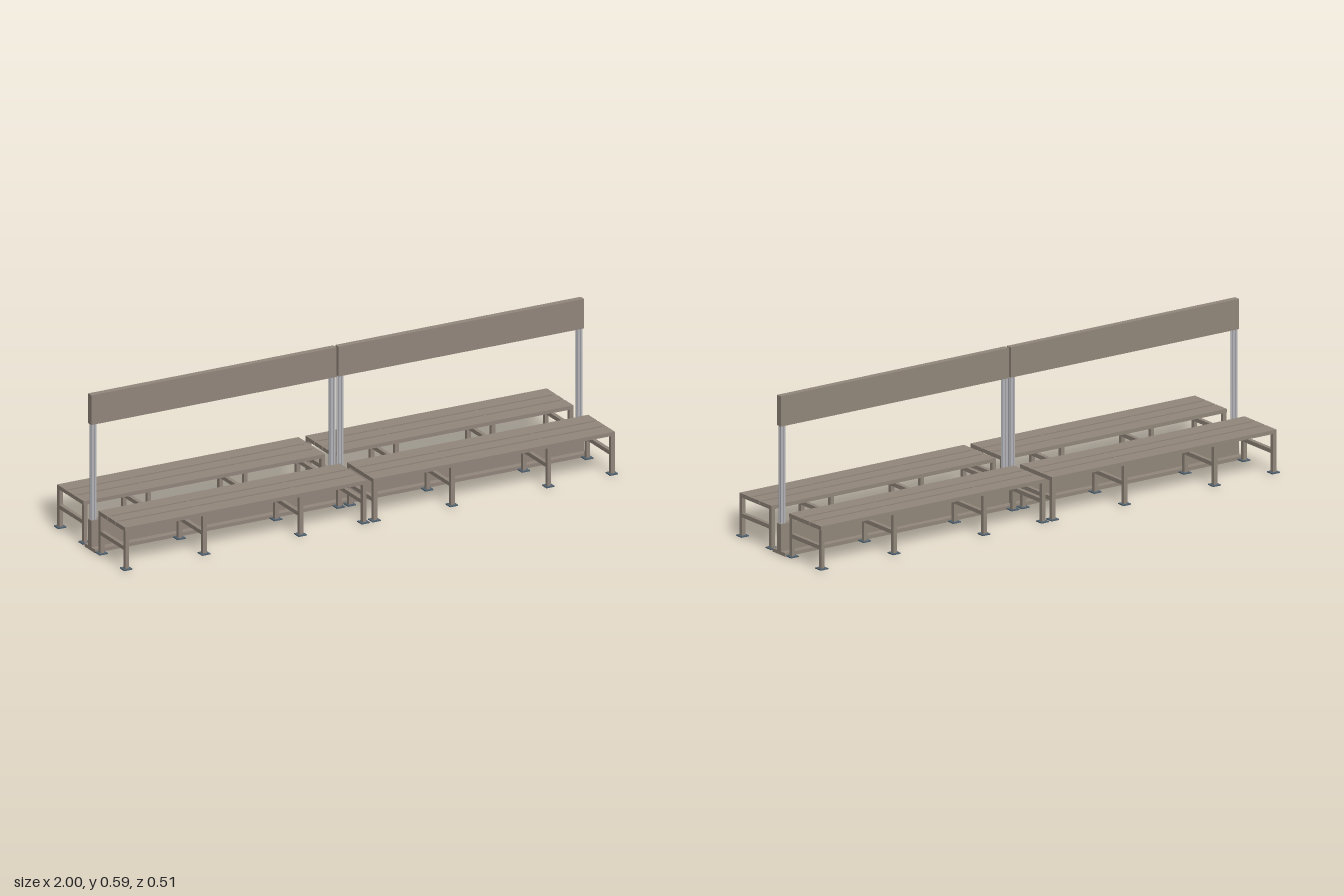
import * as THREE from 'three';

const mat = (name, color) => {
  const m = new THREE.MeshStandardMaterial({ color });
  m.name = name;
  return m;
};

export function createModel() {
  const timber = mat('taupe timber', 0x91867b);
  const steel = mat('pale steel', 0xb2b3b8);
  const plate = mat('slate foot', 0x50616f);
  const model = new THREE.Group();
  model.name = 'doubleBench';

  // Box given by its lower and upper limits on each axis
  const box = (parent, name, material, [x0, x1], [y0, y1], [z0, z1]) => {
    const mesh = new THREE.Mesh(new THREE.BoxGeometry(x1 - x0, y1 - y0, z1 - z0), material);
    mesh.position.set((x0 + x1) / 2, (y0 + y1) / 2, (z0 + z1) / 2);
    mesh.name = name;
    parent.add(mesh);
  };

  const zIn = 0.054, zOut = 0.248, w = 0.015, foot = 0.0165;

  // Two legs with feet, a stretcher and a bearer under the slats
  function legFrame(parent, x) {
    const frame = new THREE.Group();
    frame.name = 'legFrame';
    const xs = [x - w / 2, x + w / 2];
    for (const z of [zIn + w / 2, zOut - w / 2]) {
      box(frame, 'leg', timber, xs, [0.008, 0.152], [z - w / 2, z + w / 2]);
      box(frame, 'foot', plate, [x - foot, x + foot], [0.004, 0.008], [z - foot, z + foot]);
    }
    box(frame, 'stretcher', timber, xs, [0.076, 0.091], [zIn + w, zOut - w]);
    box(frame, 'bearer', timber, xs, [0.149, 0.1625], [zIn + 0.001, zOut - 0.001]);
    parent.add(frame);
  }

  function bench(x0, x1, legXs) {
    const group = new THREE.Group();
    group.name = 'bench';
    for (const zs of [[zIn, 0.1165], [0.1255, 0.1755], [0.1845, zOut]])
      box(group, 'seatSlat', timber, [x0, x1], [0.15, 0.164], zs);
    legXs.forEach((x) => legFrame(group, x));
    return group;
  }

  // Front pair of benches, and the same pair turned about for the back
  for (const turn of [0, Math.PI]) {
    const pair = new THREE.Group();
    pair.name = turn ? 'backBenches' : 'frontBenches';
    pair.add(bench(-0.99, -0.014, [-0.982, -0.667, -0.277, -0.022]));
    pair.add(bench(0.014, 0.99, [0.022, 0.335, 0.725, 0.982]));
    pair.rotation.y = turn;
    model.add(pair);
  }

  // Slotted post section, drawn in plan
  const a = 0.01, b = 0.007, s = 0.002, d = 0.003;
  const section = new THREE.Shape([
    [-a, -b], [-s, -b], [-s, -b + d], [s, -b + d], [s, -b], [a, -b],
    [a, -s], [a - d, -s], [a - d, s], [a, s], [a, b],
    [s, b], [s, b - d], [-s, b - d], [-s, b], [-a, b],
    [-a, s], [-a + d, s], [-a + d, -s], [-a, -s],
  ].map(([x, y]) => new THREE.Vector2(x, y)));
  const postGeo = new THREE.ExtrudeGeometry(section, { depth: 0.38, bevelEnabled: false });
  postGeo.rotateX(-Math.PI / 2);

  // Central divider: base plate, kick board, posts and top board on each half
  for (const side of [-1, 1]) {
    const divider = new THREE.Group();
    divider.name = side < 0 ? 'rightDivider' : 'leftDivider';
    const xs = side < 0 ? [-0.996, -0.004] : [0.004, 0.996];
    box(divider, 'basePlate', timber, xs, [0, 0.013], [-0.038, 0.038]);
    box(divider, 'kickBoard', timber, xs, [0.013, 0.113], [-0.012, 0.012]);
    box(divider, 'topBoard', timber, xs, [0.475, 0.587], [-0.012, 0.012]);
    for (const x of [0.016, 0.982]) {
      const post = new THREE.Mesh(postGeo, steel);
      post.name = 'post';
      post.position.set(side * x, 0.105, 0);
      divider.add(post);
    }
    model.add(divider);
  }
  return model;
}
